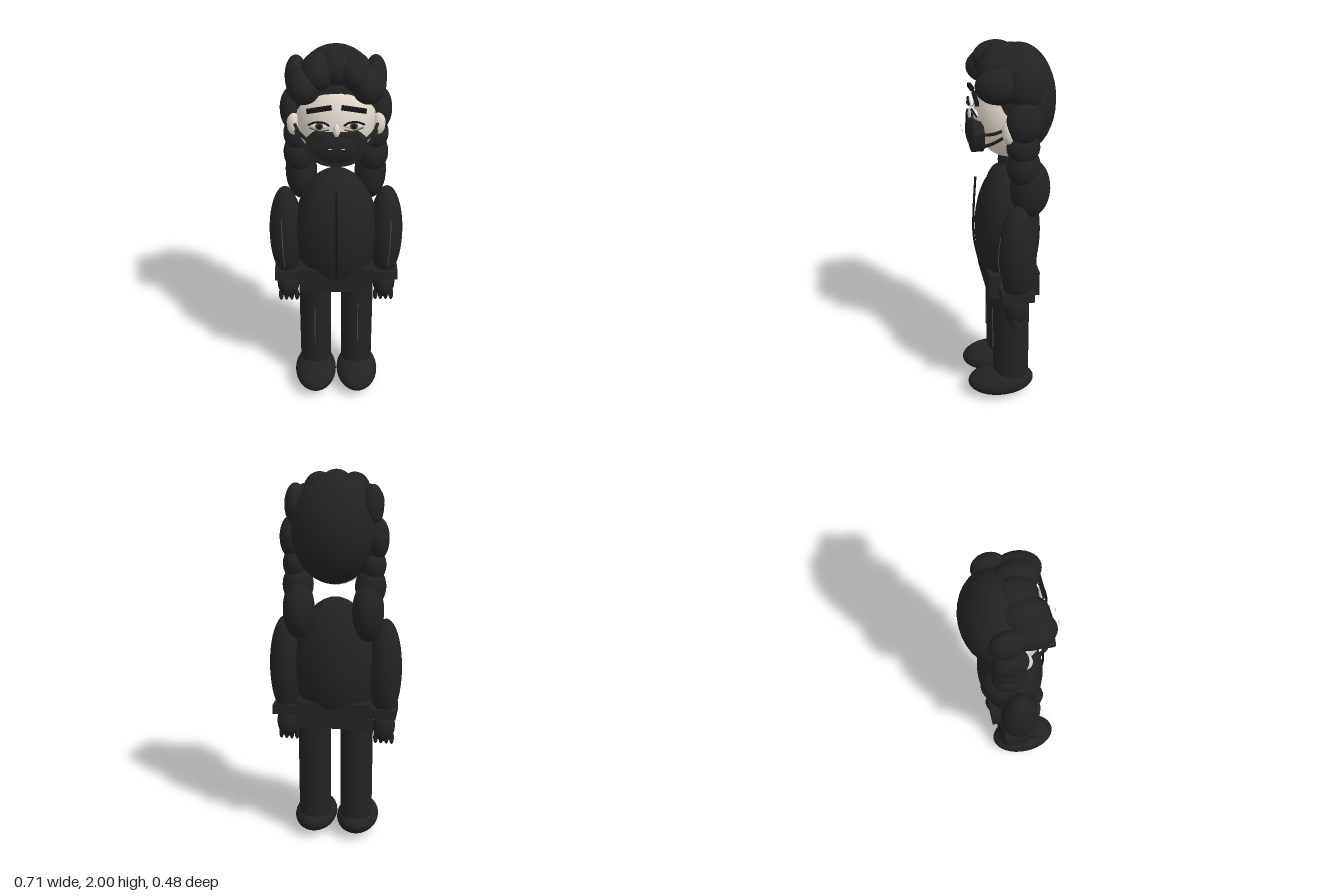
import * as THREE from 'three';

const material = (name, color, extra = {}) => {
  const m = new THREE.MeshStandardMaterial({ color, ...extra });
  m.name = name;
  return m;
};

export function createModel() {
  const black = material('black cloth and hair', 0x222222);
  const skin = material('pale skin', 0xe2d8cb);
  const white = material('eye white', 0xf2f0ec);
  const ink = material('dark ink', 0x151515);
  const grey = material('grey trim', 0x4a4a4a);
  const silver = material('silver', 0xc4c4c4);
  const model = new THREE.Group();

  const add = (name, geo, mat, x = 0, y = 0, z = 0, parent = model) => {
    const mesh = new THREE.Mesh(geo, mat);
    mesh.name = name;
    mesh.position.set(x, y, z);
    parent.add(mesh);
    return mesh;
  };
  const ball = (name, mat, [x, y, z], [rx, ry, rz], parent) =>
    add(name, new THREE.SphereGeometry(1, 32, 20).scale(rx, ry, rz), mat, x, y, z, parent);
  const box = (name, mat, [x, y, z], [w, h, d], parent) =>
    add(name, new THREE.BoxGeometry(w, h, d), mat, x, y, z, parent);
  const tube = (name, mat, points, r, parent) => add(name, new THREE.TubeGeometry(
    new THREE.CatmullRomCurve3(points.map(p => new THREE.Vector3(...p))), 16, r, 6), mat, 0, 0, 0, parent);

  // Head and hair
  ball('head', skin, [0, 1.64, 0], [0.2, 0.225, 0.168]);
  ball('hairCap', black, [0, 1.71, -0.06], [0.222, 0.28, 0.183]);
  ball('centreCurl', black, [0, 1.91, 0.025], [0.088, 0.09, 0.105]);
  ball('nose', skin, [0, 1.645, 0.178], [0.017, 0.036, 0.02]);

  // Torso, hem and front zip
  ball('torso', black, [0, 0.98, 0], [0.22, 0.367, 0.173]);
  box('jacketHem', black, [0, 0.735, -0.005], [0.39, 0.14, 0.27]);
  tube('zip', ink, [[0, 1.3, 0.165], [0, 1.12, 0.177], [0, 0.95, 0.18], [0, 0.76, 0.147]], 0.006);

  // Face mask: front panel over a rounded body
  const panel = new THREE.Shape();
  panel.moveTo(-0.1, 0.085);
  panel.lineTo(0.1, 0.085);
  panel.lineTo(0.15, 0.04);
  panel.bezierCurveTo(0.14, -0.06, 0.08, -0.09, 0, -0.092);
  panel.bezierCurveTo(-0.08, -0.09, -0.14, -0.06, -0.15, 0.04);
  add('maskPanel', new THREE.ExtrudeGeometry(panel, {
    depth: 0.055, bevelEnabled: false, curveSegments: 16,
  }), black, 0, 1.548, 0.135);
  ball('maskFront', black, [0, 1.55, 0.165], [0.125, 0.086, 0.046]);

  // Hair curls from the fringe down the braid: centre and radii
  const curls = [
    [[0.09, 1.895, 0.045], [0.08, 0.09, 0.115]],
    [[0.155, 1.835, 0.065], [0.085, 0.09, 0.118]],
    [[0.195, 1.83, -0.055], [0.056, 0.108, 0.085]],
    [[0.22, 1.665, -0.045], [0.06, 0.11, 0.088]],
    [[0.2, 1.53, -0.045], [0.066, 0.085, 0.083]],
    [[0.188, 1.42, -0.05], [0.08, 0.105, 0.085]],
    [[0.18, 1.297, -0.085], [0.082, 0.158, 0.102]],
  ];

  for (const s of [-1, 1]) {
    const side = new THREE.Group();
    side.name = s > 0 ? 'leftSide' : 'rightSide';
    model.add(side);
    const m = ([x, y, z]) => [s * x, y, z];

    curls.forEach(([c, r], i) => ball(i < 3 ? 'fringeCurl' : 'braidCurl', black, m(c), r, side));
    ball('ear', skin, m([0.212, 1.62, 0.03]), [0.032, 0.062, 0.032], side);

    // Eye, lid, brow and crease
    ball('eyeWhite', white, m([0.083, 1.672, 0.172]), [0.045, 0.021, 0.012], side);
    ball('iris', grey, m([0.083, 1.673, 0.183]), [0.019, 0.019, 0.006], side);
    ball('pupil', ink, m([0.083, 1.673, 0.188]), [0.012, 0.012, 0.005], side);
    tube('upperLid', ink, [[0.035, 1.675, 0.184], [0.06, 1.692, 0.187], [0.1, 1.694, 0.184],
      [0.135, 1.674, 0.17]].map(m), 0.005, side);
    tube('eyeCrease', grey, [[0.035, 1.648, 0.172], [0.08, 1.64, 0.168], [0.13, 1.648, 0.148]].map(m),
      0.003, side);
    box('brow', ink, m([0.083, 1.754, 0.17]), [0.12, 0.02, 0.018], side).rotation.z = -s * 0.16;

    // Mask straps and studs
    tube('upperStrap', black, [[0.14, 1.585, 0.16], [0.185, 1.605, 0.1], [0.21, 1.635, 0.04]].map(m),
      0.008, side);
    tube('lowerStrap', black, [[0.13, 1.515, 0.15], [0.178, 1.555, 0.095], [0.207, 1.6, 0.04]].map(m),
      0.008, side);
    ball('maskStud', silver, m([0.032, 1.573, 0.231]), [0.009, 0.003, 0.003], side);

    // Arm, cuff, hand and fingers
    ball('sleeve', black, m([0.266, 0.965, -0.005]), [0.088, 0.275, 0.1], side);
    tube('sleeveStripe', grey, [[0.285, 1.09, 0.084], [0.283, 0.95, 0.095], [0.277, 0.79, 0.073]].map(m),
      0.003, side);
    box('cuff', black, m([0.258, 0.735, -0.003]), [0.145, 0.05, 0.17], side);
    ball('hand', black, m([0.262, 0.645, 0.003]), [0.06, 0.09, 0.064], side);
    for (let i = 0; i < 4; i++)
      ball('finger', black, m([0.217 + i * 0.029, 0.57, 0.015]), [0.013, 0.037, 0.016], side);

    // Leg, stripe and shoe
    add('leg', new THREE.CylinderGeometry(0.088, 0.086, 0.62, 32).scale(1, 1, 1.14),
      black, s * 0.115, 0.39, 0, side);
    box('legStripe', grey, m([0.118, 0.43, 0.1]), [0.005, 0.26, 0.006], side);
    ball('shoe', black, m([0.117, 0.08, 0.057]), [0.115, 0.08, 0.184], side);
  }
  return model;
}
